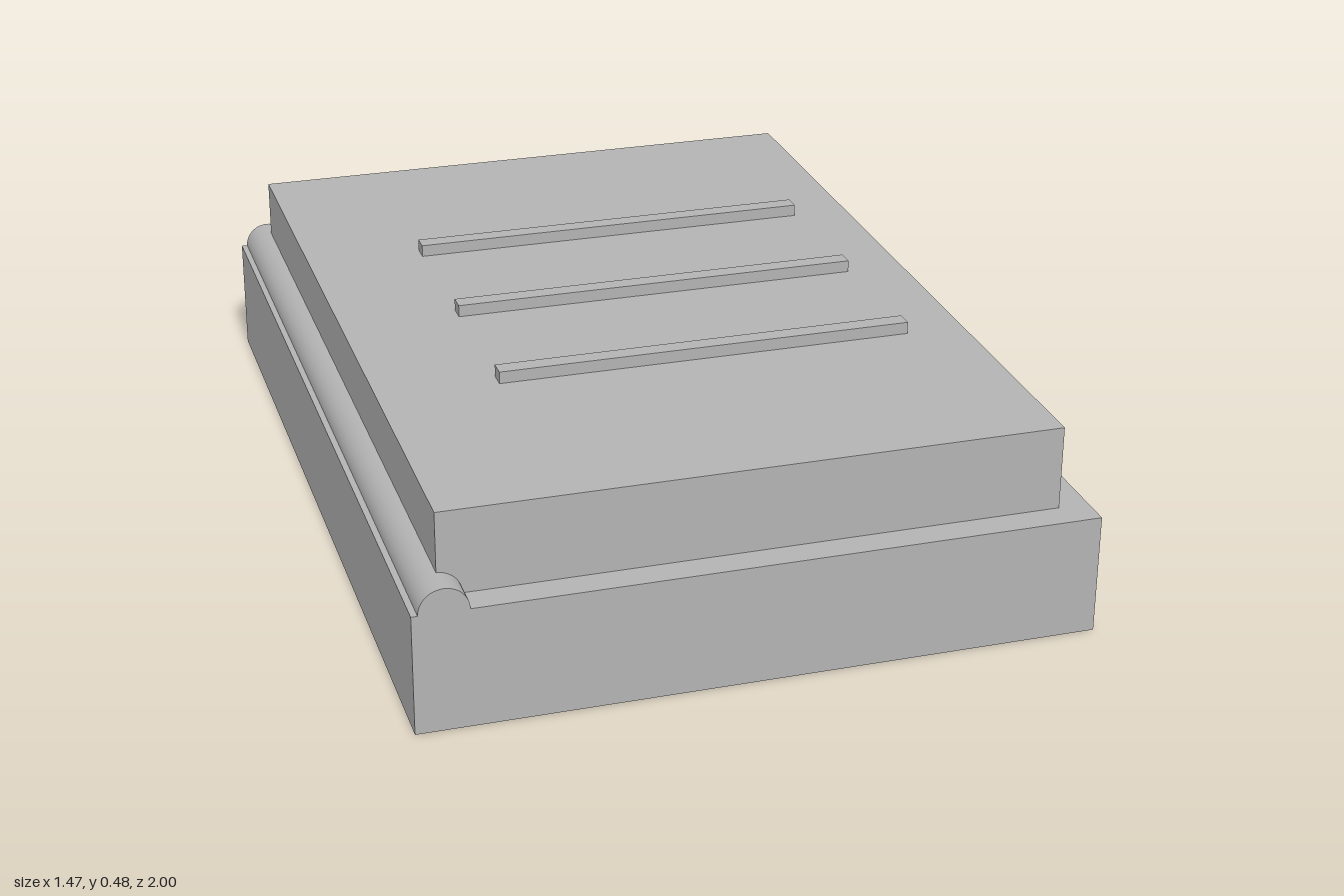
import * as THREE from 'three';

export function createModel() {
  const model = new THREE.Group();
  const grey = new THREE.MeshStandardMaterial({ color: 0xb3b3b3 });
  grey.name = 'grey';

  // Adds a mesh under a plain name
  const add = (name, geometry, x, y, z) => {
    const mesh = new THREE.Mesh(geometry, grey);
    mesh.name = name;
    mesh.position.set(x, y, z);
    model.add(mesh);
    return mesh;
  };
  // Adds a box given its bottom height
  const addBox = (name, w, h, d, x, bottom, z) =>
    add(name, new THREE.BoxGeometry(w, h, d), x, bottom + h / 2, z);

  const baseTop = 0.267;
  const coverTop = 0.453;

  // Wide base block and the smaller block on top of it
  addBox('base', 1.467, baseTop, 2, 0, 0, 0);
  addBox('upperBlock', 1.333, coverTop - baseTop, 1.867, 0, baseTop, 0);

  // Round spine along one long edge, half sunk in the base
  const spine = new THREE.CylinderGeometry(0.053, 0.053, 2, 48);
  spine.rotateX(Math.PI / 2);
  add('spine', spine, -0.667, baseTop, 0);

  // Three raised bars across the top
  for (const z of [-0.373, 0, 0.373]) {
    addBox('raisedBar', 0.933, 0.027, 0.04, 0.067, coverTop, z);
  }

  return model;
}
